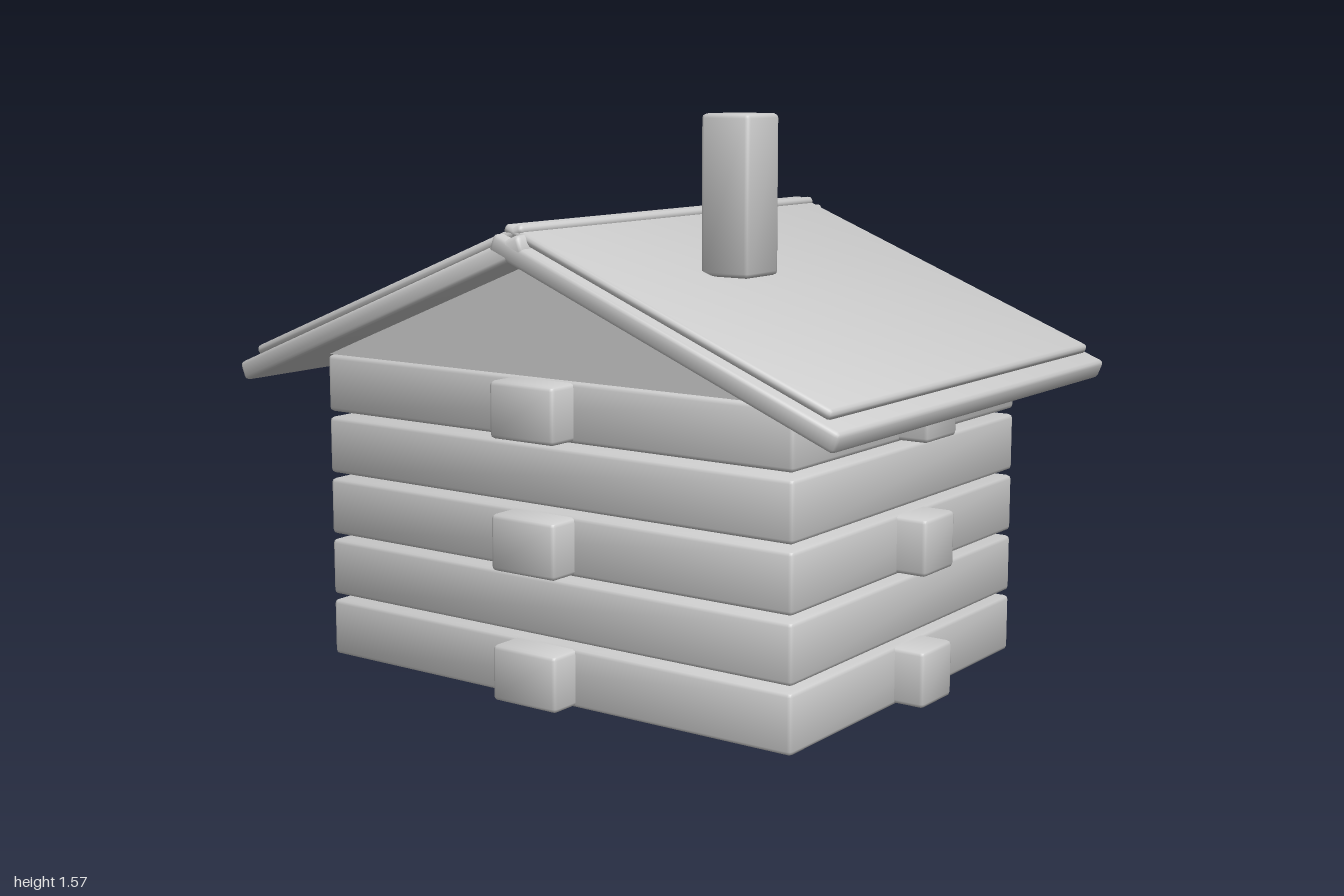
import * as THREE from 'three';
import { RoundedBoxGeometry } from 'three/addons/geometries/RoundedBoxGeometry.js';

const material = new THREE.MeshStandardMaterial({ color: 0xcccccc });

// Box with small bevels; normals lean outwards for a soft, pillowed shading
function softBox(w, h, d, radius = 0.012) {
  const geometry = new RoundedBoxGeometry(w, h, d, 1, Math.min(radius, w * 0.4, h * 0.4, d * 0.4));
  const pos = geometry.attributes.position;
  const nor = geometry.attributes.normal;
  const p = new THREE.Vector3();
  const n = new THREE.Vector3();
  for (let i = 0; i < pos.count; i++) {
    p.fromBufferAttribute(pos, i);
    n.fromBufferAttribute(nor, i);
    n.x += 0.3 * Math.sign(p.x);
    n.y += 0.3 * Math.sign(p.y);
    n.z += 0.3 * Math.sign(p.z);
    n.normalize();
    nor.setXYZ(i, n.x, n.y, n.z);
  }
  return geometry;
}

// Adds a soft box given by its extents
function addBlock(parent, name, [x0, x1], [y0, y1], [z0, z1]) {
  const mesh = new THREE.Mesh(softBox(x1 - x0, y1 - y0, z1 - z0), material);
  mesh.position.set((x0 + x1) / 2, (y0 + y1) / 2, (z0 + z1) / 2);
  mesh.name = name;
  parent.add(mesh);
  return mesh;
}

// Sloping slab whose centre line runs from the ridge point to the eave point
function addRoofSlab(parent, name, ridge, eave, thickness, depth, side) {
  const dx = eave[0] - ridge[0];
  const dy = eave[1] - ridge[1];
  const mesh = new THREE.Mesh(softBox(Math.hypot(dx, dy), thickness, depth), material);
  mesh.position.set(side * (ridge[0] + eave[0]) / 2, (ridge[1] + eave[1]) / 2, 0);
  mesh.rotation.z = side * Math.atan2(dy, dx);
  mesh.name = name;
  parent.add(mesh);
}

export function createModel() {
  const cabin = new THREE.Group();
  cabin.name = 'logCabin';

  // Stacked log courses, with crossing beams poking out of every other one
  const walls = new THREE.Group();
  walls.name = 'walls';
  for (let i = 0; i < 5; i++) {
    const y = i * 0.179;
    addBlock(walls, 'logCourse', [-0.785, 0.785], [y, y + 0.163], [-0.592, 0.595]);
    if (i % 2 === 0) {
      const beam = [y + 0.005, y + 0.16];
      addBlock(walls, 'sideBeam', [-0.875, 0.872], beam, [-0.08, 0.08]);
      addBlock(walls, 'lengthBeam', [-0.108, 0.108], beam, [-0.678, 0.682]);
    }
  }
  cabin.add(walls);

  // Door and window on the back wall
  addBlock(cabin, 'door', [-0.145, 0.145], [0.02, 0.75], [-0.618, -0.578]);
  addBlock(cabin, 'window', [-0.55, -0.375], [0.55, 0.716], [-0.618, -0.578]);

  // Gable prism under the roof
  const triangle = new THREE.Shape([
    new THREE.Vector2(-0.785, 0.88),
    new THREE.Vector2(0.785, 0.88),
    new THREE.Vector2(0, 1.2),
  ]);
  const gable = new THREE.Mesh(
    new THREE.ExtrudeGeometry(triangle, { depth: 1.17, bevelEnabled: false }), material);
  gable.position.z = -0.585;
  gable.name = 'gable';
  cabin.add(gable);

  // Two layers of roof slabs that cross at the ridge
  const roof = new THREE.Group();
  roof.name = 'roof';
  for (const side of [1, -1]) {
    addRoofSlab(roof, 'roofPanel', [-0.05, 1.245], [0.988, 0.829], 0.055, 1.47, side);
    addRoofSlab(roof, 'roofCover', [-0.03, 1.282], [0.955, 0.888], 0.028, 1.41, side);
  }
  cabin.add(roof);

  // Chimney
  addBlock(cabin, 'chimney', [0.31, 0.46], [1.145, 1.57], [0.16, 0.31]);

  return cabin;
}
